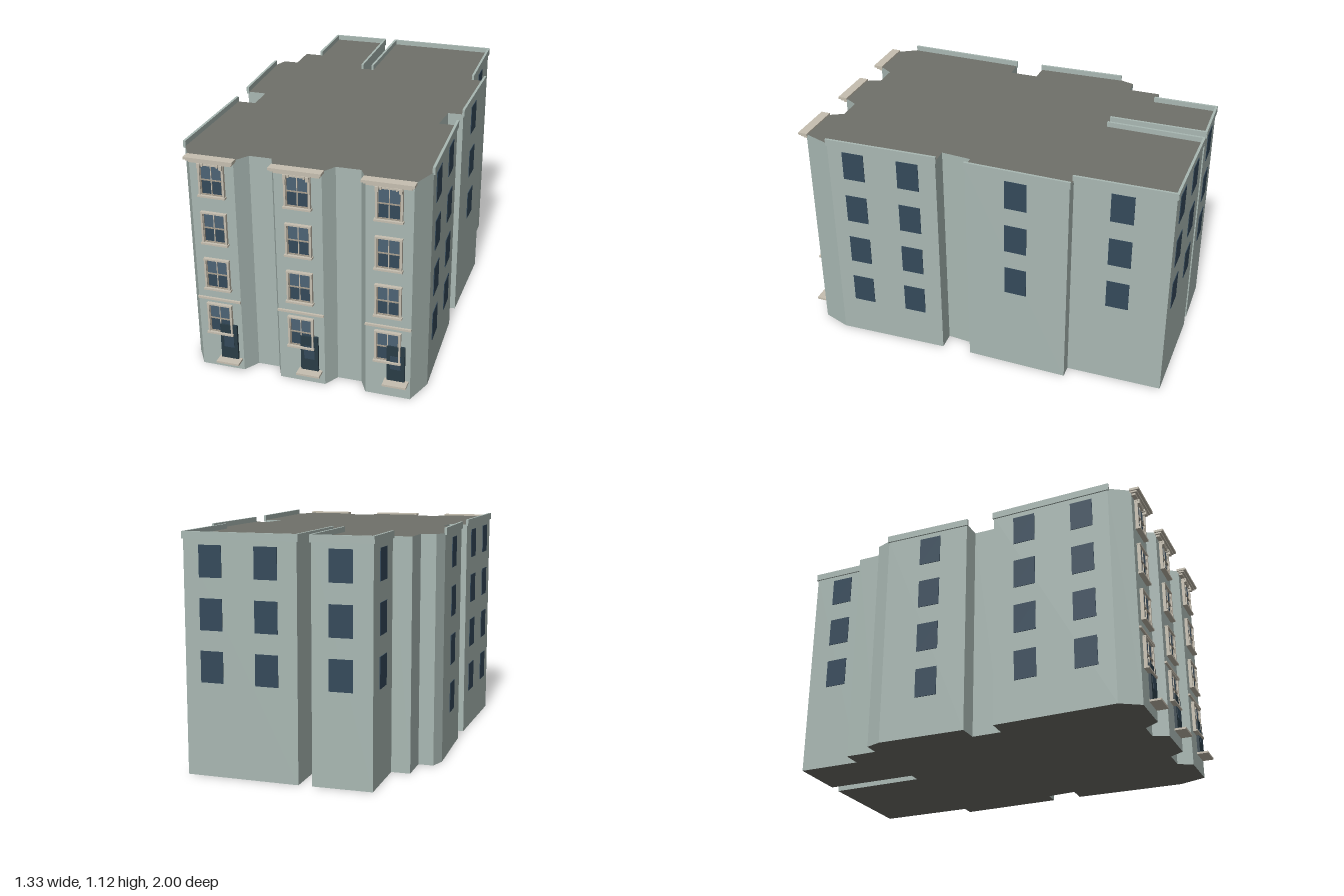
import * as THREE from 'three';

const mat = (color) => new THREE.MeshStandardMaterial({ color });
const M = {
  wall: mat(0xa9b8b3), roof: mat(0x70716a), glass: mat(0x34495a), paleGlass: mat(0x4d6375),
  stone: mat(0xc6bfb0), frame: mat(0xa39a8b), door: mat(0x293c46), doorPanel: mat(0x34495a),
};

// Footprint [x, z], running along the front to the right, then round the back
const PLAN = [
  [-0.47, 0.87], [-0.395, 0.955], [-0.185, 0.922], [-0.15, 0.845], [-0.045, 0.828],
  [0, 0.894], [0.22, 0.86], [0.25, 0.785], [0.365, 0.766], [0.415, 0.83],
  [0.627, 0.797], [0.655, 0.655], [0.553, 0.11], [0.465, 0.127], [0.455, -0.02],
  [0.528, -0.035], [0.457, -0.537], [0.395, -0.527], [0.315, -0.993], [-0.222, -0.913],
  [-0.15, -0.447], [-0.207, -0.437], [-0.285, -0.9], [-0.562, -0.852], [-0.51, -0.545],
  [-0.6, -0.53], [-0.575, -0.375], [-0.647, -0.363], [-0.66, -0.285], [-0.578, 0.14],
  [-0.485, 0.127], [-0.462, 0.268], [-0.553, 0.285],
];
const ROOF_Y = 1.1;
const FLOORS = [0.2, 0.44, 0.68, 0.92];

function box(parent, name, material, w, h, d, x, y, z) {
  const mesh = new THREE.Mesh(new THREE.BoxGeometry(w, h, d), material);
  mesh.name = name;
  mesh.position.set(x, y, z);
  parent.add(mesh);
  return mesh;
}

// Group centred on one wall: local x runs along it, local z points outwards
function onWall(parent, index, name) {
  const a = PLAN[index], b = PLAN[(index + 1) % PLAN.length];
  const dx = b[0] - a[0], dz = b[1] - a[1];
  const g = new THREE.Group();
  g.name = name;
  g.position.set((a[0] + b[0]) / 2, 0, (a[1] + b[1]) / 2);
  g.rotation.y = Math.atan2(-dz, dx);
  parent.add(g);
  return { g, length: Math.hypot(dx, dz) };
}

// Framed sash window with two panes above and two below
function sashWindow(parent, y0) {
  const g = new THREE.Group();
  g.name = 'sashWindow';
  g.position.y = y0;
  parent.add(g);
  const h = 0.15, w = 0.114;
  box(g, 'lowerGlass', M.glass, w, h / 2, 0.004, 0, h / 4, 0.002);
  box(g, 'upperGlass', M.paleGlass, w, h / 2, 0.006, 0, h * 0.75, 0.003);
  for (const s of [-1, 1]) {
    box(g, 'jamb', M.stone, 0.009, h, 0.016, s * 0.057, h / 2, 0.008);
    box(g, 'sashStile', M.frame, 0.004, h, 0.01, s * 0.05, h / 2, 0.005);
  }
  box(g, 'mullion', M.stone, 0.004, h, 0.01, 0, h / 2, 0.005);
  box(g, 'meetingRail', M.frame, w, 0.005, 0.012, 0, h / 2, 0.006);
  box(g, 'bottomRail', M.frame, w, 0.005, 0.01, 0, 0.003, 0.005);
  box(g, 'lintel', M.stone, 0.125, 0.008, 0.018, 0, h, 0.009);
  box(g, 'sill', M.stone, 0.132, 0.009, 0.024, 0, -0.004, 0.012);
}

function frontBay(parent, index, doorY) {
  const { g, length } = onWall(parent, index, 'frontBay');
  FLOORS.forEach((y) => sashWindow(g, y));
  box(g, 'stringCourse', M.stone, length, 0.01, 0.012, 0, 0.377, 0.005);

  // Stepped cornice on brackets
  box(g, 'corniceTop', M.stone, length + 0.02, 0.012, 0.046, 0, 1.101, 0.017);
  box(g, 'corniceMiddle', M.stone, length + 0.008, 0.009, 0.034, 0, 1.091, 0.012);
  box(g, 'corniceBase', M.stone, length - 0.01, 0.01, 0.022, 0, 1.081, 0.008);
  for (const s of [-1, 1]) {
    box(g, 'bracket', M.stone, 0.014, 0.022, 0.026, s * 0.053, 1.065, 0.013);
    box(g, 'innerBracket', M.stone, 0.008, 0.014, 0.024, s * 0.036, 1.07, 0.012);
  }

  // Door with a raised panel and a doorstep
  box(g, 'door', M.door, 0.085, 0.186, 0.013, 0.04, doorY + 0.093, 0.0065);
  box(g, 'doorPanel', M.doorPanel, 0.05, 0.07, 0.015, 0.04, doorY + 0.1, 0.0075);
  box(g, 'doorstep', M.stone, 0.113, 0.01, 0.055, 0.043, doorY - 0.003, 0.0275);
}

export function createModel() {
  const model = new THREE.Group();
  model.name = 'apartmentBuilding';

  // Main block: roof material on the caps, wall material on the sides
  const shape = new THREE.Shape(PLAN.map(([x, z]) => new THREE.Vector2(x, -z)));
  const geo = new THREE.ExtrudeGeometry(shape, { depth: ROOF_Y, bevelEnabled: false });
  geo.rotateX(-Math.PI / 2);
  const block = new THREE.Mesh(geo, [M.roof, M.wall]);
  block.name = 'mainBlock';
  model.add(block);

  // Low parapets along the outer walls
  for (const i of [11, 15, 17, 18, 19, 21, 22, 23, 28, 32]) {
    const { g, length } = onWall(model, i, 'parapetWall');
    box(g, 'parapet', M.wall, length + 0.01, 0.034, 0.012, 0, 1.108, 0.001);
  }

  // Flat side and back windows: wall, positions along it, lowest floor
  const sides = [
    [11, [0.235, 0.74], 0], [15, [0.49], 1], [17, [0.49], 1], [18, [0.24, 0.73], 1],
    [22, [0.48], 1], [23, [0.5], 1], [28, [0.54], 0], [32, [0.27, 0.77], 0],
  ];
  for (const [i, spots, lowest] of sides) {
    const { g, length } = onWall(model, i, 'sideWindows');
    for (const t of spots) {
      for (const y of FLOORS.slice(lowest)) {
        box(g, 'sideWindow', M.glass, 0.11, 0.146, 0.004, (t - 0.5) * length, y + 0.073, 0.001);
      }
    }
  }

  // Three projecting bays, their doors rising with the street
  [[1, 0.06], [5, 0.072], [9, 0.095]].forEach(([i, y]) => frontBay(model, i, y));
  return model;
}
